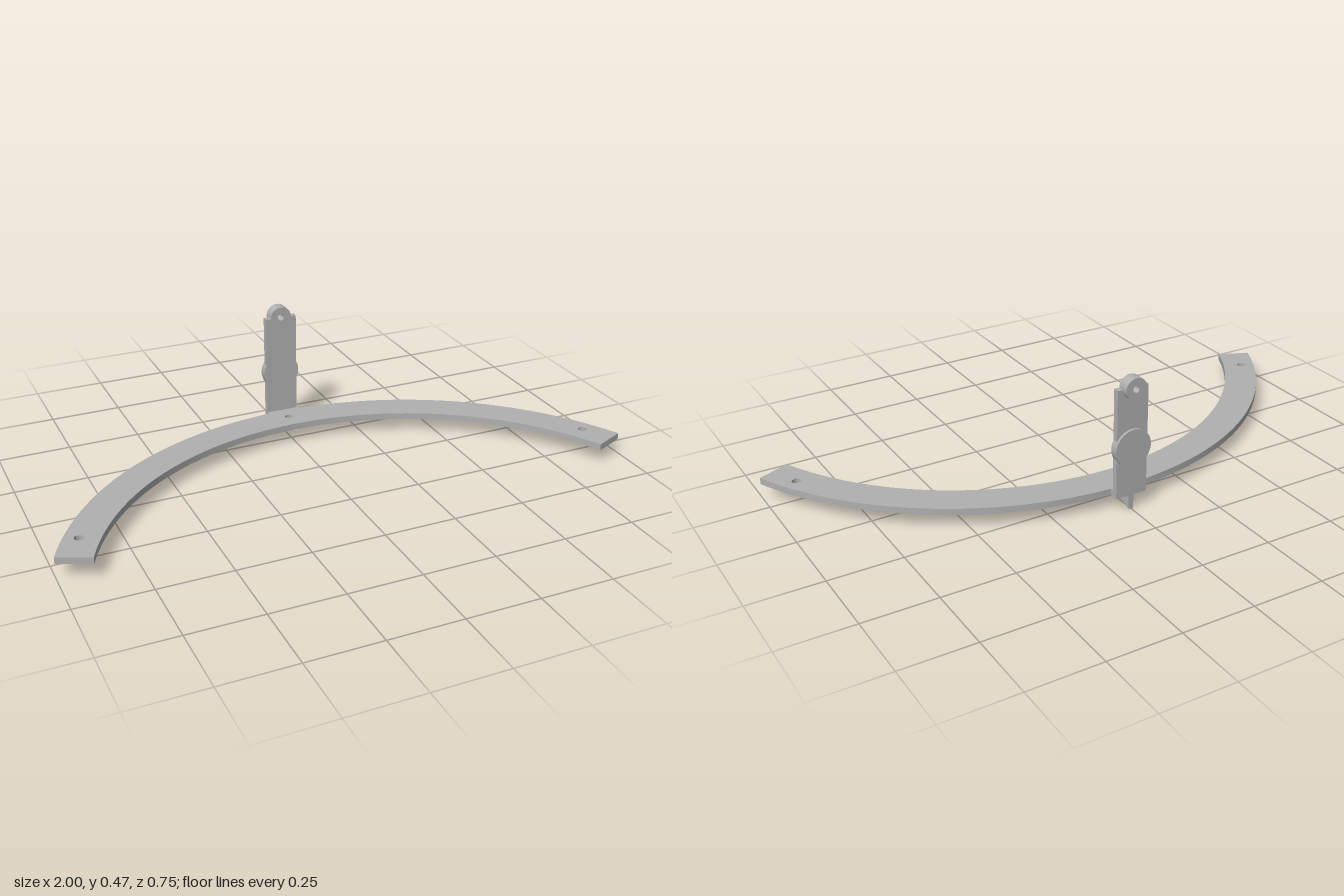
import * as THREE from 'three';
import { toCreasedNormals } from 'three/addons/utils/BufferGeometryUtils.js';

const grey = new THREE.MeshStandardMaterial({ color: 0xb0b0b0 });
grey.name = 'plain grey';

function circleHole(x, y, r) {
  return new THREE.Path().absarc(x, y, r, 0, Math.PI * 2, true);
}

function extrude(shape, depth, curveSegments = 32) {
  return new THREE.ExtrudeGeometry(shape, { depth, bevelEnabled: false, curveSegments });
}

export function createModel() {
  const model = new THREE.Group();
  model.name = 'curvedBracket';
  const add = (name, geometry) => {
    const mesh = new THREE.Mesh(toCreasedNormals(geometry, 0.5), grey);
    mesh.name = name;
    model.add(mesh);
  };

  // Curved band with three screw holes, drawn flat and laid down
  const cz = 0.768, outer = 1.094, inner = 0.977, half = THREE.MathUtils.degToRad(66.1);
  const a0 = Math.PI / 2 - half, a1 = Math.PI / 2 + half;
  const band = new THREE.Shape();
  band.absarc(0, -cz, outer, a0, a1, false);
  band.absarc(0, -cz, inner, a1, a0, true);
  band.closePath();
  band.holes.push(circleHole(0, 0.275, 0.013));
  for (const s of [-1, 1]) band.holes.push(circleHole(s * 0.905, -0.245, 0.015));
  add('curvedBand', extrude(band, 0.023, 64).rotateX(-Math.PI / 2).translate(0, 0.05, 0));

  // Foot joining the band to the upright
  add('foot', new THREE.BoxGeometry(0.114, 0.023, 0.018).translate(0, 0.0615, -0.328));

  // Upright plate with a rounded, drilled lug on top
  const w = 0.057, top = 0.432, lug = 0.038;
  const plate = new THREE.Shape();
  plate.moveTo(-w, 0.05);
  plate.lineTo(w, 0.05);
  plate.lineTo(w, top);
  plate.lineTo(lug, top);
  plate.absarc(0, top, lug, 0, Math.PI, false);
  plate.lineTo(-w, top);
  plate.closePath();
  plate.holes.push(circleHole(0, top, 0.012));
  add('uprightPlate', extrude(plate, 0.021).translate(0, 0, -0.357));

  // Drilled boss behind the lug
  const boss = new THREE.Shape().absarc(0, top, lug, 0, Math.PI * 2, false);
  boss.holes.push(circleHole(0, top, 0.012));
  add('topBoss', extrude(boss, 0.018).translate(0, 0, -0.375));

  // Round pad set into the back of the plate
  add('roundPad', new THREE.CylinderGeometry(0.0655, 0.0655, 0.029, 64)
    .rotateX(Math.PI / 2).translate(0, 0.223, -0.3515));

  // Triangular rib under the band, notched beneath the middle hole
  const rib = new THREE.Shape([
    [0.357, 0], [0.357, 0.05], [0.28, 0.05], [0.28, 0.043],
    [0.267, 0.043], [0.267, 0.05], [0.2, 0.05],
  ].map(([x, y]) => new THREE.Vector2(x, y)));
  add('supportRib', extrude(rib, 0.018).rotateY(Math.PI / 2).translate(-0.009, 0, 0));

  return model;
}
